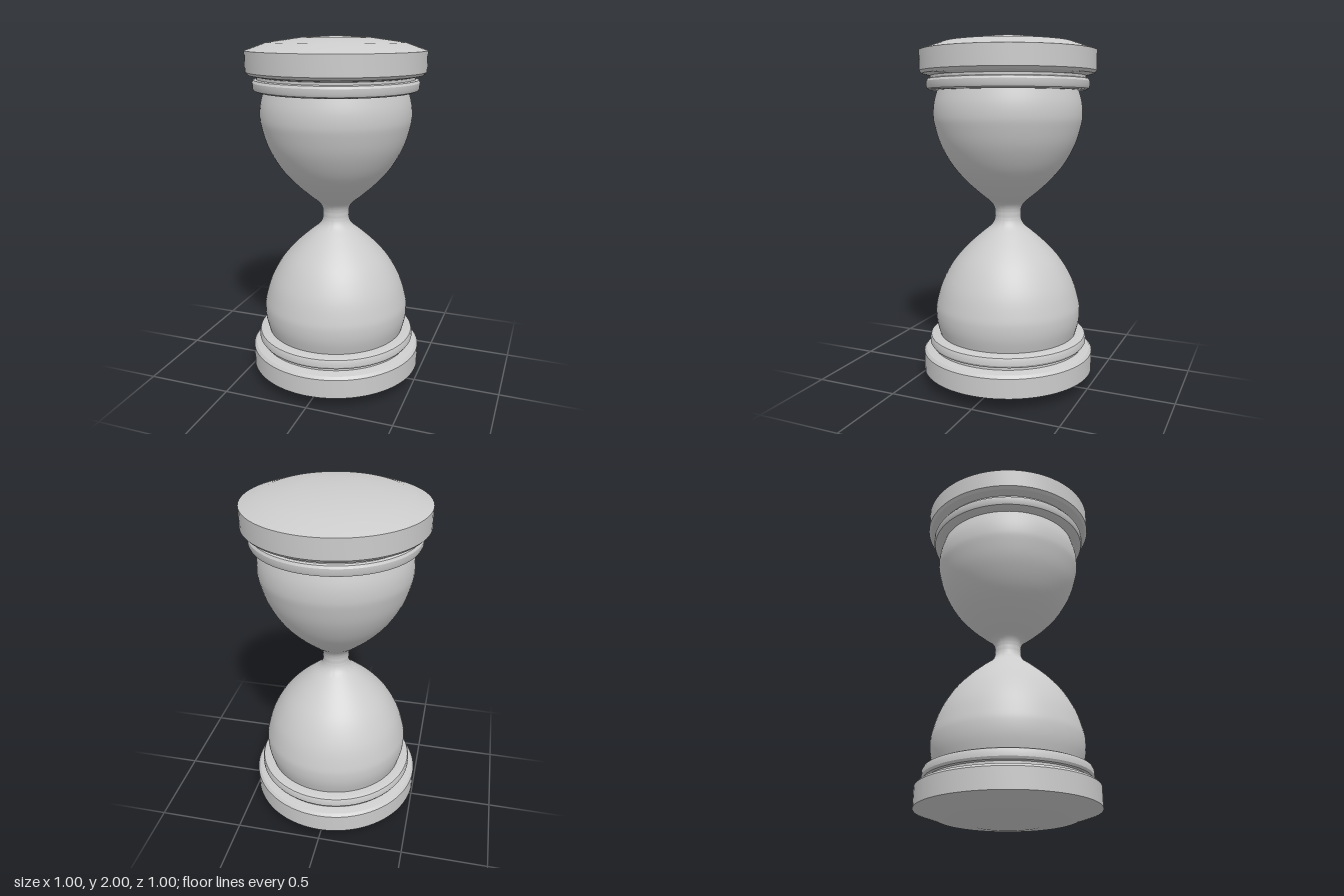
import * as THREE from 'three';
import { toCreasedNormals } from 'three/addons/utils/BufferGeometryUtils.js';

const SEGMENTS = 72;
const material = new THREE.MeshStandardMaterial({ color: 0xcccccc });

const toVectors = (pairs) => pairs.map(([r, y]) => new THREE.Vector2(r, y));

// Mirror a profile about mid height, keeping it ordered bottom to top
const mirrored = (points) => points.map((p) => new THREE.Vector2(p.x, 2 - p.y)).reverse();

function turned(name, points, crease) {
  const geometry = toCreasedNormals(new THREE.LatheGeometry(points, SEGMENTS), crease);
  const mesh = new THREE.Mesh(geometry, material);
  mesh.name = name;
  return mesh;
}

export function createModel() {
  const group = new THREE.Group();
  group.name = 'hourglass';

  // Cap: rounded bead, groove, chamfered rim and shallow dome
  const cap = toVectors([
    [0.36, 1.706], [0.44, 1.706], [0.457, 1.714], [0.463, 1.728], [0.463, 1.755],
    [0.455, 1.768], [0.44, 1.772], [0.44, 1.786], [0.46, 1.79], [0.486, 1.797],
    [0.5, 1.812], [0.5, 1.923], [0.378, 1.966], [0.19, 1.992], [0, 2],
  ]);
  group.add(turned('topCap', cap, 0.5));
  group.add(turned('bottomCap', mirrored(cap), 0.5));

  // Glass: one smooth curve for the upper bulb, mirrored through the neck
  const upper = new THREE.SplineCurve(toVectors([
    [0.075, 1], [0.077, 1.03], [0.097, 1.067], [0.155, 1.115], [0.24, 1.192],
    [0.32, 1.285], [0.384, 1.4], [0.418, 1.51], [0.426, 1.57], [0.42, 1.64],
    [0.398, 1.72],
  ])).getPoints(40);
  const glass = [...mirrored(upper), ...upper.slice(1)];
  group.add(turned('glassBulbs', glass, 1));

  return group;
}
